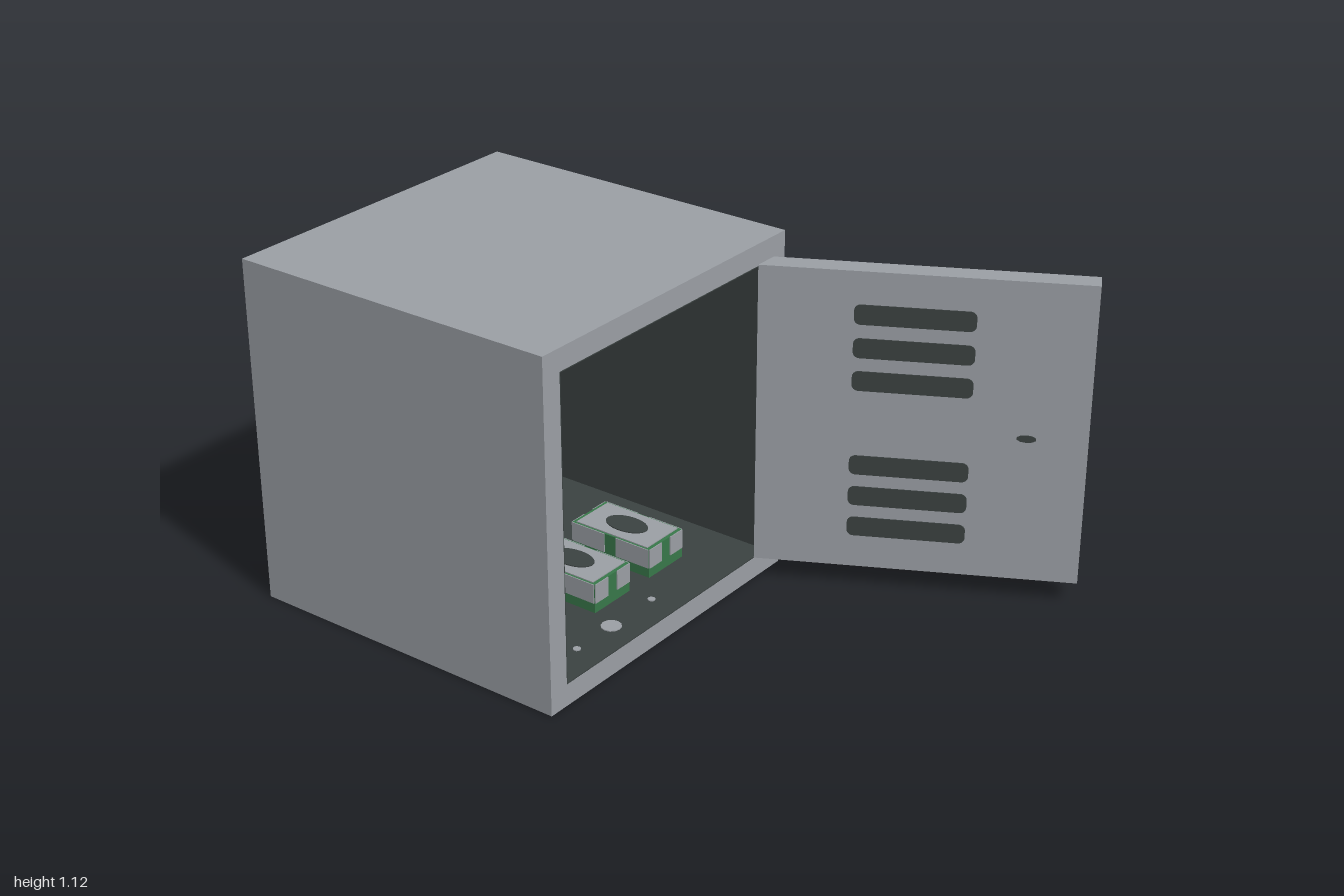
import * as THREE from 'three';

const mat = (name, color) => {
  const m = new THREE.MeshStandardMaterial({ color });
  m.name = name;
  return m;
};

export function createModel() {
  const steel = mat('steel grey', 0x9b9fa5);
  const dark = mat('dark lining', 0x3b4241);
  const green = mat('note green', 0x38784a);
  const root = new THREE.Group();
  root.name = 'safe';

  const add = (parent, name, geometry, material, x = 0, y = 0, z = 0) => {
    const mesh = new THREE.Mesh(geometry, material);
    mesh.name = name;
    mesh.position.set(x, y, z);
    parent.add(mesh);
    return mesh;
  };
  // box given by its limits on each axis
  const box = (parent, name, material, x0, x1, y0, y1, z0, z1) =>
    add(parent, name, new THREE.BoxGeometry(x1 - x0, y1 - y0, z1 - z0), material,
      (x0 + x1) / 2, (y0 + y1) / 2, (z0 + z1) / 2);
  // thin plate with rounded ends, centred, facing +z
  const pill = (w, h, r, depth) => {
    const s = new THREE.Shape();
    const a = w / 2, b = h / 2;
    s.moveTo(-a + r, -b);
    s.lineTo(a - r, -b);
    s.absarc(a - r, -b + r, r, -Math.PI / 2, 0);
    s.absarc(a - r, b - r, r, 0, Math.PI / 2);
    s.absarc(-a + r, b - r, r, Math.PI / 2, Math.PI);
    s.absarc(-a + r, -b + r, r, Math.PI, Math.PI * 1.5);
    return new THREE.ExtrudeGeometry(s, { depth, bevelEnabled: false, curveSegments: 5 })
      .translate(0, 0, -depth / 2);
  };

  // cabinet walls
  const X0 = -0.755, X1 = 0.365, H = 1.12, ZB = -1, ZF = 0.12, T = 0.07;
  const cabinet = new THREE.Group();
  cabinet.name = 'cabinet';
  root.add(cabinet);
  const outline = new THREE.Shape([[X0, 0], [X1, 0], [X1, H], [X0, H]].map(p => new THREE.Vector2(...p)));
  outline.holes.push(new THREE.Path([[X0 + T, T], [X0 + T, H - T], [X1 - T, H - T], [X1 - T, T]]
    .map(p => new THREE.Vector2(...p))));
  add(cabinet, 'walls', new THREE.ExtrudeGeometry(outline, { depth: ZF - ZB, bevelEnabled: false }), steel, 0, 0, ZB);
  box(cabinet, 'backWall', steel, X0 + T, X1 - T, T, H - T, ZB, ZB + T);

  // dark lining of the inside
  const L = 0.004, xa = X0 + T, xb = X1 - T, ya = T, yb = H - T, za = ZB + T;
  box(cabinet, 'liningLeft', dark, xa, xa + L, ya, yb, za, ZF - 0.001);
  box(cabinet, 'liningRight', dark, xb - L, xb, ya, yb, za, ZF - 0.001);
  box(cabinet, 'liningFloor', dark, xa, xb, ya, ya + L, za, ZF - 0.001);
  box(cabinet, 'liningCeiling', dark, xa, xb, yb - L, yb, za, ZF - 0.001);
  box(cabinet, 'liningBack', dark, xa, xb, ya, yb, za, za + L);

  // plate on the back wall and bolt sockets round the opening
  box(cabinet, 'backPlate', steel, -0.225, -0.17, 0.775, 0.9, za + L, za + 0.012);
  for (const [y0, y1] of [[0.77, 0.855], [0.425, 0.505], [0.18, 0.36]])
    box(cabinet, 'sideSocket', steel, xa + L, xa + L + 0.003, y0, y1, 0.034, 0.05);
  for (const [x, r] of [[-0.523, 0.012], [-0.362, 0.032], [-0.167, 0.012]])
    add(cabinet, 'floorSocket', new THREE.CylinderGeometry(r, r, 0.003, 12), steel, x, ya + L + 0.0015, 0.025);

  // hinges
  for (const [y0, y1] of [[0.21, 0.385], [0.745, 0.915]])
    box(cabinet, 'hinge', steel, 0.28, 0.32, y0, y1, 0.1, 0.133);

  // open door: local x runs from hinge to free edge, local -z is the outside
  const door = new THREE.Group();
  door.name = 'door';
  door.position.set(0.23, 0, 0.12);
  door.rotation.y = -Math.atan2(0.88, 0.46);
  root.add(door);
  box(door, 'doorPanel', steel, 0, 0.993, 0.072, 1.054, -0.07, 0);

  // vents, tall inside and narrow outside
  for (const y of [0.18, 0.285, 0.39, 0.67, 0.777, 0.885]) {
    add(door, 'innerVent', pill(0.36, 0.064, 0.02, 0.004), dark, 0.465, y + 0.032, 0.001);
    add(door, 'outerVent', pill(0.3, 0.032, 0.0155, 0.004), dark, 0.458, y + 0.016, -0.071);
  }
  add(door, 'innerPin', new THREE.CylinderGeometry(0.03, 0.03, 0.004, 10).rotateX(Math.PI / 2)
    .scale(1, 0.4, 1), dark, 0.81, 0.55, 0.001);

  // keypad and lock on the outside
  box(door, 'keypad', steel, 0.68, 0.965, 0.775, 0.95, -0.088, -0.07);
  box(door, 'lockPlate', steel, 0.723, 0.935, 0.425, 0.632, -0.088, -0.07);
  box(door, 'lockKnob', steel, 0.77, 0.885, 0.475, 0.585, -0.103, -0.088);
  add(door, 'lockMark', pill(0.1, 0.034, 0.012, 0.003), green, 0.8275, 0.53, -0.1035);
  box(door, 'lockSlot', dark, 0.815, 0.839, 0.477, 0.583, -0.107, -0.103);

  // bundles of notes on the floor
  const bundle = (x, z, turn) => {
    const g = new THREE.Group();
    g.name = 'noteBundle';
    g.position.set(x, ya + L, z);
    g.rotation.y = turn;
    root.add(g);
    const w = 0.166, h = 0.097, d = 0.3, p = 0.003;
    box(g, 'notes', green, -w / 2, w / 2, 0, h, -d / 2, d / 2);
    for (const s of [-1, 1]) {
      // pale patches at the ends and sides
      for (const e of [-1, 1]) {
        add(g, 'endPatch', new THREE.BoxGeometry(0.062, 0.064, p), steel, s * 0.052, h - 0.032, e * (d / 2 + p / 2));
        add(g, 'sidePatch', new THREE.BoxGeometry(p, 0.064, 0.125), steel, s * (w / 2 + p / 2), h - 0.032, e * 0.085);
      }
    }
    box(g, 'topPanel', steel, -w / 2 + 0.006, w / 2 - 0.006, h, h + p, -d / 2 + 0.012, d / 2 - 0.012);
    add(g, 'topOval', new THREE.CylinderGeometry(1, 1, p, 20).scale(0.045, 1, 0.075), dark, 0, h + p * 1.5, 0);
  };
  bundle(-0.249, -0.21, 0);
  bundle(0.015, -0.21, 0);
  bundle(-0.13, -0.58, 0.75);

  return root;
}
